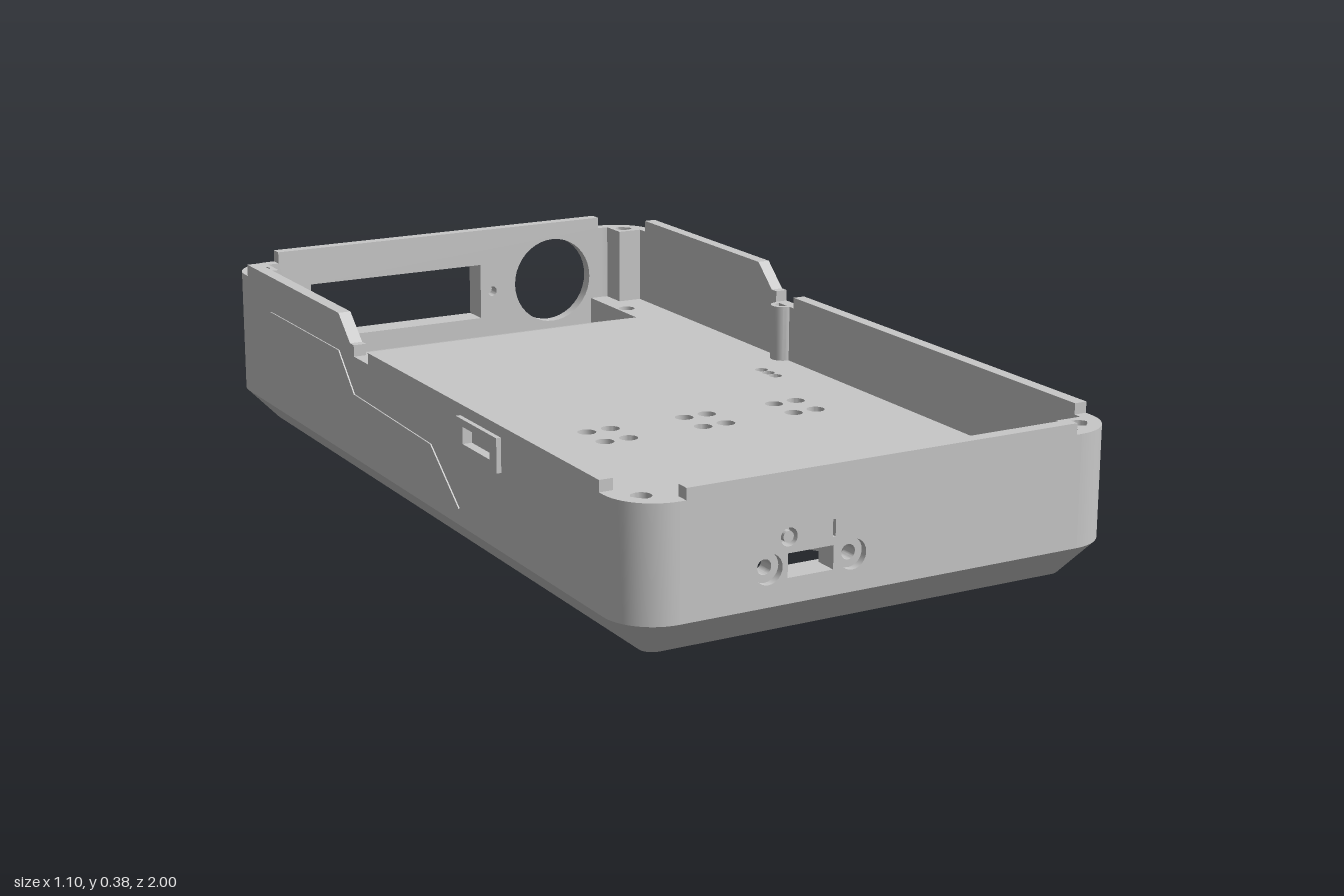
import * as THREE from 'three';
import { toCreasedNormals } from 'three/addons/utils/BufferGeometryUtils.js';

const W = 0.5425, FRONT = 1, BACK = -0.965, R = 0.1, T = 0.028;
const CX = W - R, CZF = FRONT - R, CZB = BACK + R; // corner centres
const FLOOR = 0.176;

const vec = (pts) => pts.map(([a, b]) => new THREE.Vector2(a, b));
const rect = (a0, b0, a1, b1) => [[a0, b0], [a1, b0], [a1, b1], [a0, b1]];
const circle = (a, b, r, n = 24) => Array.from({ length: n }, (_, i) => {
  const t = (i / n) * Math.PI * 2;
  return [a + r * Math.cos(t), b + r * Math.sin(t)];
});

function extrude(pts, holes, depth) {
  const outline = vec(pts);
  if (THREE.ShapeUtils.isClockWise(outline)) outline.reverse();
  const shape = new THREE.Shape(outline);
  shape.holes = holes.map((h) => new THREE.Path(vec(h)));
  return new THREE.ExtrudeGeometry(shape, { depth, bevelEnabled: false });
}
// Horizontal slab from [x, z] points between two heights
function slab(pts, holes, y0, y1) {
  const flip = (p) => p.map(([x, z]) => [x, -z]);
  return extrude(flip(pts), holes.map(flip), y1 - y0).rotateX(-Math.PI / 2).translate(0, y0, 0);
}
// Upright plate facing x, from [z, y] points
function sidePlate(pts, holes, x0, x1) {
  const flip = (p) => p.map(([z, y]) => [-z, y]);
  return extrude(flip(pts), holes.map(flip), x1 - x0).rotateY(Math.PI / 2).translate(x0, 0, 0);
}
// Upright plate facing z, from [x, y] points
const endPlate = (pts, holes, z0, z1) => extrude(pts, holes, z1 - z0).translate(0, 0, z0);

// Quarter arc of a body corner, from the side wall to the end wall
function arc(sx, sz, r) {
  const cz = sz > 0 ? CZF : CZB;
  return Array.from({ length: 13 }, (_, i) => {
    const t = (i / 12) * Math.PI / 2;
    return [sx * (CX + r * Math.cos(t)), cz + sz * r * Math.sin(t)];
  });
}
const roundedOutline = (r) => [
  ...arc(1, 1, r), ...arc(-1, 1, r).reverse(), ...arc(-1, -1, r), ...arc(1, -1, r).reverse(),
];

export function createModel() {
  const group = new THREE.Group();
  group.name = 'enclosureBase';
  group.position.x = 0.003;
  const grey = new THREE.MeshStandardMaterial({ color: 0xc8c8c8 });
  grey.name = 'grey plastic';
  const add = (name, geometry) => {
    const mesh = new THREE.Mesh(toCreasedNormals(geometry, 0.5), grey);
    mesh.name = name;
    group.add(mesh);
  };

  // Chamfered bottom with the battery bay and two screw holes
  const bay = [[-0.31, -0.76], [0.29, -0.76], [0.29, 0.06], [0.27, 0.06], [0.27, 0.9],
    [-0.23, 0.9], [-0.23, 0.06], [-0.31, 0.06]];
  const screwHoles = [circle(0.36, 0.22, 0.03), circle(-0.36, 0.22, 0.03)];
  const bottom = slab(roundedOutline(R), [bay, ...screwHoles], 0, 0.075);
  const pos = bottom.attributes.position;
  for (let i = 0; i < pos.count; i++) {
    if (pos.getY(i) > 0.01) continue;
    const x = pos.getX(i), z = pos.getZ(i);
    const nx = THREE.MathUtils.clamp(x, -CX, CX), nz = THREE.MathUtils.clamp(z, CZB, CZF);
    pos.setX(i, nx + (x - nx) * 0.27);
    pos.setZ(i, nz + (z - nz) * 0.27);
  }
  add('bottom', bottom);

  // Floor layers: bay walls, lower floor with contact pocket, main floor with dimples
  const ri = R - T, zf = FRONT - T, zb = BACK + T;
  add('bayRim', slab(roundedOutline(ri), [bay, ...screwHoles], 0.075, 0.11));
  const floorOutline = [
    ...arc(1, 1, ri),
    [-0.04, zf], [-0.04, 0.9], [-0.11, 0.78], [-0.35, 0.78], [-0.35, 0.91], [-0.29, 0.91], [-0.29, zf], // port pocket
    ...arc(-1, 1, ri).reverse(),
    ...arc(-1, -1, ri).filter(([x]) => x < -0.46),
    [-0.46, -0.845], [-0.4, -0.845], [-0.4, -0.7], [0.41, -0.7], [0.41, zb], // connector recess
    ...arc(1, -1, ri).reverse(),
  ];
  add('lowerFloor', slab(floorOutline, [rect(-0.24, -0.66, 0.06, -0.1)], 0.11, 0.14));

  const dimples = [];
  const dimple = (x, z, r = 0.02) => dimples.push(circle(x, z, r, 16));
  for (const x of [-0.37, -0.145, 0.09, 0.315])
    for (const dx of [-0.028, 0.028]) for (const z of [0.14, 0.22]) dimple(x + dx, z);
  for (const x of [0.375, 0.43]) for (const z of [0.63, 0.71]) dimple(x, z);
  for (const x of [-0.4, -0.34]) dimple(x, -0.165);
  for (const x of [-0.44, -0.305]) dimple(x, -0.08, 0.025);
  for (const x of [-0.435, 0.435]) for (const z of [-0.795, 0.82]) dimple(x, z);
  for (let i = 0; i < 3; i++) {
    dimple(-0.4 + i * 0.03, 0.01, 0.0148);
    dimple(0.415, -0.12 + i * 0.03, 0.0148);
  }
  for (let i = 0; i < 4; i++) dimple(-0.43, 0.355 + i * 0.03, 0.0148);
  add('floor', slab(floorOutline, [rect(-0.51, 0.565, -0.35, 0.69), ...dimples], 0.14, FLOOR));

  // Ramp sinking from the floor to the back wall
  const rampY = (z) => FLOOR + (z + 0.7) * 0.27;
  const ramp = (z) => [[z, 0.1], [z, rampY(z)], [zb, rampY(zb)], [zb, 0.1]];
  add('floorRamp', sidePlate(ramp(-0.7), [], -0.4, 0.41));
  add('floorRampSide', sidePlate(ramp(-0.845), [], -0.46, -0.4));

  // Battery bay rails
  add('bayRailLeft', slab(rect(0.13, -0.75, 0.21, 0.89), [], 0.035, 0.11));
  add('bayRailRight', slab(rect(-0.23, 0.06, -0.19, 0.76), [], 0.04, 0.11));

  // Side walls with stepped rim; the right one has a framed, closed port
  const sideProfile = [[CZF, 0.075], [CZF, 0.305], [0.885, 0.305], [0.885, 0.328], [-0.145, 0.328],
    [-0.145, 0.303], [-0.22, 0.303], [-0.22, 0.328], [-0.24, 0.328], [-0.3, 0.382], [-0.845, 0.382],
    [-0.845, 0.355], [CZB, 0.355], [CZB, 0.075]];
  const sidePort = rect(0.34, 0.255, 0.46, 0.29);
  add('leftWall', sidePlate(sideProfile, [], W - T, W));
  add('rightWall', sidePlate(sideProfile, [sidePort], -W, -W + T));
  add('sidePortFrame', sidePlate(rect(0.31, 0.235, 0.49, 0.305), [sidePort], -W - 0.01, -W));
  add('sidePortBack', sidePlate(sidePort, [], -W + 0.01, -W + 0.014));

  // Thin grip panels on both sides
  const grip = [[-0.85, 0.13], [-0.85, 0.24], [-0.7, 0.3], [-0.3, 0.3], [-0.22, 0.22],
    [0.17, 0.21], [0.3, 0.11], [-0.82, 0.11]];
  add('leftGripPanel', sidePlate(grip, [], W, W + 0.003));
  add('rightGripPanel', sidePlate(grip, [], -W - 0.003, -W));

  // Front wall with port, screws, button and slit
  const endProfile = (low, high) => [[-CX, 0.075], [CX, 0.075], [CX, low], [0.43, low], [0.43, high],
    [-0.43, high], [-0.43, low], [-CX, low]];
  const screws = [-0.258, -0.077];
  const port = rect(-0.217, 0.125, -0.119, 0.172);
  const button = circle(-0.215, 0.203, 0.018);
  const slit = rect(-0.121, 0.188, -0.115, 0.222);
  const screwBores = screws.map((x) => circle(x, 0.148, 0.015));
  add('frontWall', endPlate(endProfile(0.305, 0.328),
    [port, button, slit, ...screws.map((x) => circle(x, 0.148, 0.03))], zf, FRONT));
  screws.forEach((x, i) =>
    add('portScrewSeat', endPlate(circle(x, 0.148, 0.03), [screwBores[i]], zf, FRONT - 0.015)));
  add('portBlock', endPlate(rect(-0.29, 0.11, -0.04, FLOOR), [port, ...screwBores], 0.95, zf));
  add('buttonBacking', endPlate(rect(-0.24, FLOOR, -0.1, 0.228), [], zf - 0.004, zf));
  add('frontButton', endPlate(circle(-0.215, 0.203, 0.011), [], zf, FRONT - 0.002));

  // Back wall with round hole and connector opening
  const opening = rect(-0.35, 0.16, 0.1, 0.295);
  const bezelScrews = [-0.382, 0.132];
  add('backWall', endPlate(endProfile(0.355, 0.382),
    [circle(0.3, 0.235, 0.105, 40), opening, ...bezelScrews.map((x) => circle(x, 0.225, 0.012))], BACK, zb));

  // Raised connector bezel, tapering outward
  const bezel = endPlate(rect(-0.413, 0.11, 0.16, 0.34), [opening], -1, BACK);
  const bp = bezel.attributes.position;
  for (let i = 0; i < bp.count; i++) {
    if (bp.getZ(i) > -0.99) continue;
    const x = bp.getX(i), y = bp.getY(i);
    if (x < -0.4 || x > 0.15) bp.setX(i, x + (x < 0 ? 0.036 : -0.036));
    if (y < 0.12 || y > 0.33) bp.setY(i, y + (y < 0.2 ? 0.032 : -0.036));
  }
  add('connectorBezel', bezel);
  for (const x of bezelScrews)
    add('bezelScrew', endPlate(circle(x, 0.225, 0.022), [circle(x, 0.225, 0.012)], -0.992, BACK));

  // Rounded corners with square screw posts, and round middle posts
  for (const sx of [-1, 1]) {
    for (const sz of [-1, 1]) {
      const top = sz > 0 ? 0.305 : 0.355;
      add('corner', slab([...arc(sx, sz, R), ...arc(sx, sz, ri).reverse()], [], 0.075, top));
      const z = sz > 0 ? 0.937 : -0.905;
      const post = [[-0.03, -0.035], [0.031, -0.035], [0.031, 0.016], [0.012, 0.035], [-0.03, 0.035]]
        .map(([a, b]) => [sx * (0.486 + a), z + sz * b]);
      add('cornerPost', slab(post, [circle(sx * 0.486, z, 0.02)], 0.11, top));
    }
    const x = sx * 0.514;
    add('middlePost', slab(circle(x, -0.19, 0.028), [circle(x, -0.19, 0.017)], 0.16, 0.303));
  }
  return group;
}
